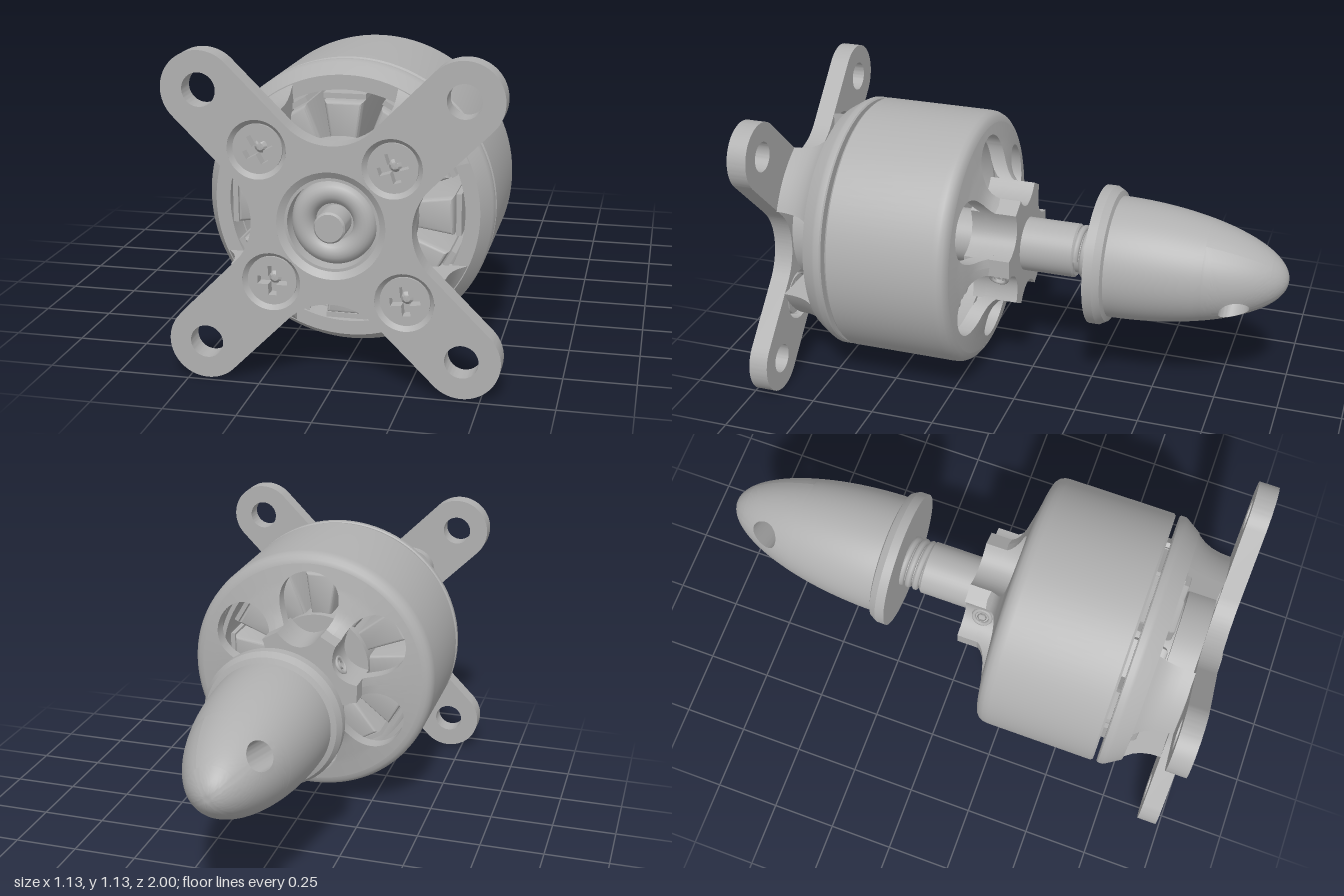
import * as THREE from 'three';
import { toCreasedNormals } from 'three/addons/utils/BufferGeometryUtils.js';

const metal = new THREE.MeshStandardMaterial({ color: 0xb0b0b0, side: THREE.DoubleSide });
metal.name = 'grey metal';
const V = (x, y, z) => new THREE.Vector3(x, y, z);
const lerp = THREE.MathUtils.lerp;

export function createModel() {
  const model = new THREE.Group();
  model.name = 'brushlessMotor';
  const motor = new THREE.Group(); // motor axis runs along z
  motor.name = 'motor';
  motor.position.y = 0.567;
  model.add(motor);

  const add = (name, geo, parent = motor) => {
    const mesh = new THREE.Mesh(geo, metal);
    mesh.name = name;
    parent.add(mesh);
    return mesh;
  };
  // Turned part from [radius, z] pairs, ascending z on the outside
  const turn = (pts, seg = 72) => toCreasedNormals(
    new THREE.LatheGeometry(pts.map(p => new THREE.Vector2(p[0], p[1])), seg).rotateX(Math.PI / 2), 0.5);
  const extrude = (shape, z0, z1) => toCreasedNormals(
    new THREE.ExtrudeGeometry(shape, { depth: z1 - z0, bevelEnabled: false, curveSegments: 28 }).translate(0, 0, z0), 0.5);
  // Surface through rows of points
  const skin = rows => {
    const n = rows[0].length, idx = [];
    for (let i = 0; i < rows.length - 1; i++) for (let j = 0; j < n - 1; j++) {
      const a = i * n + j, d = a + n;
      idx.push(a, a + 1, d + 1, a, d + 1, d);
    }
    const geo = new THREE.BufferGeometry().setFromPoints(rows.flat());
    geo.setIndex(idx);
    return toCreasedNormals(geo, 0.6);
  };
  // Rows running from a flat outline inward to the rim of a hole
  const holeRows = (outline, rim, map, steps = 9) => Array.from({ length: steps + 1 }, (_, i) =>
    outline.map(p => {
      const w = rim(p);
      return map(lerp(p[0], w[0], i / steps), lerp(p[1], w[1], i / steps));
    }));
  const line = (a, b, n) => Array.from({ length: n }, (_, i) => [lerp(a[0], b[0], i / n), lerp(a[1], b[1], i / n)]);
  const circleHole = (shape, x, y, r) => {
    const hole = new THREE.Path();
    hole.absarc(x, y, r, 0, Math.PI * 2, true);
    shape.holes.push(hole);
  };

  // Cross-shaped mounting plate
  const plate = new THREE.Shape();
  const screws = [[-0.245, 0.245, 0.5], [0.205, 0.205, 0.3], [-0.205, -0.205, 0], [0.245, -0.245, 0.1]];
  for (let k = 0; k < 4; k++) {
    const q = k * Math.PI / 2, c = Math.cos(q), s = Math.sin(q), e = Math.PI / 4;
    plate.absarc(0.436 * (c - s), 0.436 * (c + s), 0.13, q - e, q + 3 * e, false);
    plate.absarc(-0.478 * s, 0.478 * c, 0.208, q - e, q - 3 * e, true);
    circleHole(plate, 0.436 * (c - s), 0.436 * (c + s), 0.057);
  }
  plate.closePath();
  circleHole(plate, 0, 0, 0.183);
  screws.forEach(([x, y]) => circleHole(plate, x, y, 0.1));
  add('mountingPlate', extrude(plate, 0.905, 0.98));

  // Countersunk cross-slot screws
  const head = new THREE.Shape();
  head.absarc(0, 0, 0.084, 0, Math.PI * 2, false);
  const slot = new THREE.Path(), w = 0.014, l = 0.051;
  for (let k = 0; k < 4; k++) {
    const c = Math.round(Math.cos(k * Math.PI / 2)), s = Math.round(Math.sin(k * Math.PI / 2));
    [[l, -w], [l, w], [w, w]].forEach(([x, y], i) =>
      slot[k + i ? 'lineTo' : 'moveTo'](x * c - y * s, x * s + y * c));
  }
  slot.closePath();
  head.holes.push(slot);
  screws.forEach(([x, y, turnBy]) => {
    const g = new THREE.Group();
    g.name = 'plateScrew';
    g.position.set(x, y, 0);
    g.rotation.z = turnBy;
    motor.add(g);
    add('screwHead', extrude(head, 0.925, 0.968), g);
    add('slotFloor', turn([[0.084, 0.91], [0.084, 0.928], [0.022, 0.928], [0.012, 0.938], [0, 0.94]], 32), g);
    add('countersink', turn([[0.1, 0.98], [0.084, 0.96]], 40), g);
  });

  // Centre bore with bearing and shaft tip
  add('boreCollar', turn([[0.183, 0.905], [0.183, 0.98], [0.16, 0.965], [0.15, 0.965], [0.148, 0.905]]));
  add('bearing', new THREE.TorusGeometry(0.104, 0.04, 20, 64).translate(0, 0, 0.92));
  add('shaftTip', turn([[0.053, 0.8], [0.053, 0.993], [0.047, 1], [0, 1]], 40));

  // Stationary base: boss, four flared legs and a ring
  add('baseBoss', turn([[0, 0.8], [0.26, 0.8], [0.26, 0.905], [0, 0.905]]));
  const levels = [[0.755, 0.465], [0.775, 0.448], [0.8, 0.431], [0.83, 0.419], [0.865, 0.412], [0.905, 0.41]];
  const legRows = levels.map(([z, r]) => {
    const a = Math.asin(0.18 / r), row = [V(0.18, 0.18, z)];
    for (let i = 0; i <= 16; i++) {
      const t = lerp(a, Math.PI / 2 - a, i / 16);
      row.push(V(r * Math.cos(t), r * Math.sin(t), z));
    }
    return [...row, row[0].clone()];
  });
  legRows.push(legRows[0].map(() => V(0.27, 0.27, 0.905)));
  const leg = skin(legRows);
  for (let k = 0; k < 4; k++) add('baseLeg', leg).rotation.z = k * Math.PI / 2;
  add('baseRing', turn([[0.41, 0.675], [0.495, 0.675], [0.5, 0.68], [0.5, 0.7], [0.494, 0.712],
    [0.46, 0.765], [0.41, 0.765], [0.41, 0.675]], 96));

  // Stator with twelve wound teeth
  add('statorCore', turn([[0.105, 0.3], [0.21, 0.3], [0.21, 0.8], [0.105, 0.8]]));
  const tooth = new THREE.Shape([[-0.04, 0.19], [0.04, 0.19], [0.068, 0.375], [-0.068, 0.375]]
    .map(p => new THREE.Vector2(...p)));
  const coil = toCreasedNormals(new THREE.ExtrudeGeometry(tooth, {
    depth: 0.42, bevelThickness: 0.02, bevelSize: 0.012, bevelOffset: -0.012, bevelSegments: 3,
  }).translate(0, 0, 0.35), 0.6);
  const shoe = new THREE.BoxGeometry(0.145, 0.018, 0.42).translate(0, 0.389, 0.56);
  for (let k = 0; k < 12; k++) {
    add('coil', coil).rotation.z = k * Math.PI / 6;
    add('poleShoe', shoe).rotation.z = k * Math.PI / 6;
  }

  // Rotating bell
  add('bell', turn([[0.46, 0.182], [0.477, 0.187], [0.49, 0.198], [0.498, 0.215], [0.5, 0.235], [0.5, 0.652],
    [0.493, 0.66], [0.412, 0.66], [0.412, 0.3], [0.43, 0.3], [0.43, 0.242], [0.46, 0.242]], 96));

  // Bell end with six windows and fluted spokes
  const curve = [[0, 0.09], [0.235, 0.09], [0.247, 0.115], [0.265, 0.13], [0.3, 0.146], [0.385, 0.168], [0.47, 0.184]];
  const endZ = r => {
    const i = Math.max(1, curve.findIndex(p => p[0] >= r)), [a, b] = [curve[i - 1], curve[i]];
    return lerp(a[1], b[1], (r - a[0]) / (b[0] - a[0]));
  };
  const windowAt = t => [0.12 * (1 + 0.15 * Math.sin(t)) * Math.cos(t), 0.3 + 0.13 * Math.sin(t)];
  const polar = (r, deg) => [r * Math.cos(deg * Math.PI / 180), r * Math.sin(deg * Math.PI / 180)];
  const sector = [...line([0, 0], polar(0.46, 120), 20),
    ...Array.from({ length: 24 }, (_, i) => polar(0.46, 120 - i * 2.5)),
    ...line(polar(0.46, 60), [0, 0], 20), [0, 0]];
  const endRows = holeRows(sector, p => windowAt(Math.atan2(p[1] - 0.3, p[0])),
    (x, y) => V(x, y, endZ(Math.hypot(x, y))), 12);
  const under = endRows.map(row => row.map(p => V(p.x, p.y, p.z + 0.06))).reverse();
  const endSector = skin([...endRows, ...under]);
  const hubPts = [];
  for (let k = 0; k < 6; k++) {
    add('bellEnd', endSector).rotation.z = k * Math.PI / 3;
    for (let i = 0; i <= 16; i++) {
      const [x, y] = windowAt(lerp(-0.64, 0.64 - Math.PI, i / 16));
      hubPts.push(new THREE.Vector2(x, y).rotateAround(new THREE.Vector2(), k * Math.PI / 3));
    }
  }
  add('flutedHub', extrude(new THREE.Shape(hubPts), 0.02, 0.2));

  // Two set screws in opposite flutes
  for (const deg of [60, 240]) {
    const g = new THREE.Group();
    g.name = 'setScrew';
    g.rotation.z = deg * Math.PI / 180;
    motor.add(g);
    add('setScrewRim', new THREE.TorusGeometry(0.033, 0.008, 8, 32).rotateX(Math.PI / 2).translate(0, 0.174, 0.09), g);
    add('setScrewSocket', new THREE.CylinderGeometry(0.018, 0.018, 0.02, 6, 1, true).translate(0, 0.172, 0.09), g);
  }

  // Shaft and thread
  add('shaft', turn([[0, -0.36], [0.084, -0.36], [0.084, -0.19], [0.098, -0.19], [0.105, -0.183], [0.105, 0.3]], 48));
  const helix = new THREE.CatmullRomCurve3(Array.from({ length: 97 }, (_, i) => {
    const t = i / 24 * Math.PI * 2;
    return V(0.09 * Math.cos(t), 0.09 * Math.sin(t), -0.195 - 0.03 * i / 24);
  }));
  add('thread', new THREE.TubeGeometry(helix, 160, 0.0135, 8));

  // Spinner nut: flange and bullet nose with a cross hole
  const spinner = new THREE.Group();
  spinner.name = 'spinner';
  spinner.rotation.z = 0.93;
  motor.add(spinner);
  add('spinnerFlange', turn([[0.235, -0.342], [0.255, -0.335], [0.27, -0.308], [0.27, -0.272], [0.085, -0.272]]), spinner);
  const noseR = z => 0.235 * Math.sqrt(Math.max(0, 1 - Math.pow((-z - 0.34) / 0.66, 1.9)));
  const profile = (z0, z1, n) => Array.from({ length: n + 1 }, (_, i) => {
    const z = lerp(z0, z1, 1 - (1 - i / n) ** 2 * (z0 === -1 ? 1 : 0) - (z0 === -1 ? 0 : 1 - i / n));
    return [noseR(z), z];
  });
  const tip = profile(-1, -0.94, 10).map((_, i) => {
    const z = -1 + 0.06 * (i / 10) ** 2;
    return [noseR(z), z];
  });
  add('noseTip', turn(tip), spinner);
  add('noseBody', turn(profile(-0.7, -0.342, 14)), spinner);
  const patch = [...line([0, -0.94], [Math.PI, -0.94], 36), ...line([Math.PI, -0.94], [Math.PI, -0.7], 10),
    ...line([Math.PI, -0.7], [0, -0.7], 36), ...line([0, -0.7], [0, -0.94], 10), [0, -0.94]];
  const noseRows = holeRows(patch, ([a, z]) => {
    const t = Math.atan2((z + 0.82) / 0.055, (a - Math.PI / 2) / 0.348);
    return [Math.PI / 2 + 0.348 * Math.cos(t), -0.82 + 0.055 * Math.sin(t)];
  }, (a, z) => V(noseR(z) * Math.cos(a), noseR(z) * Math.sin(a), z), 10);
  noseRows.push(noseRows[10].map(p => V(p.x, 0, p.z)));
  const noseHalf = skin(noseRows);
  for (const a of [0, Math.PI]) add('drilledNose', noseHalf, spinner).rotation.z = a;

  return model;
}
